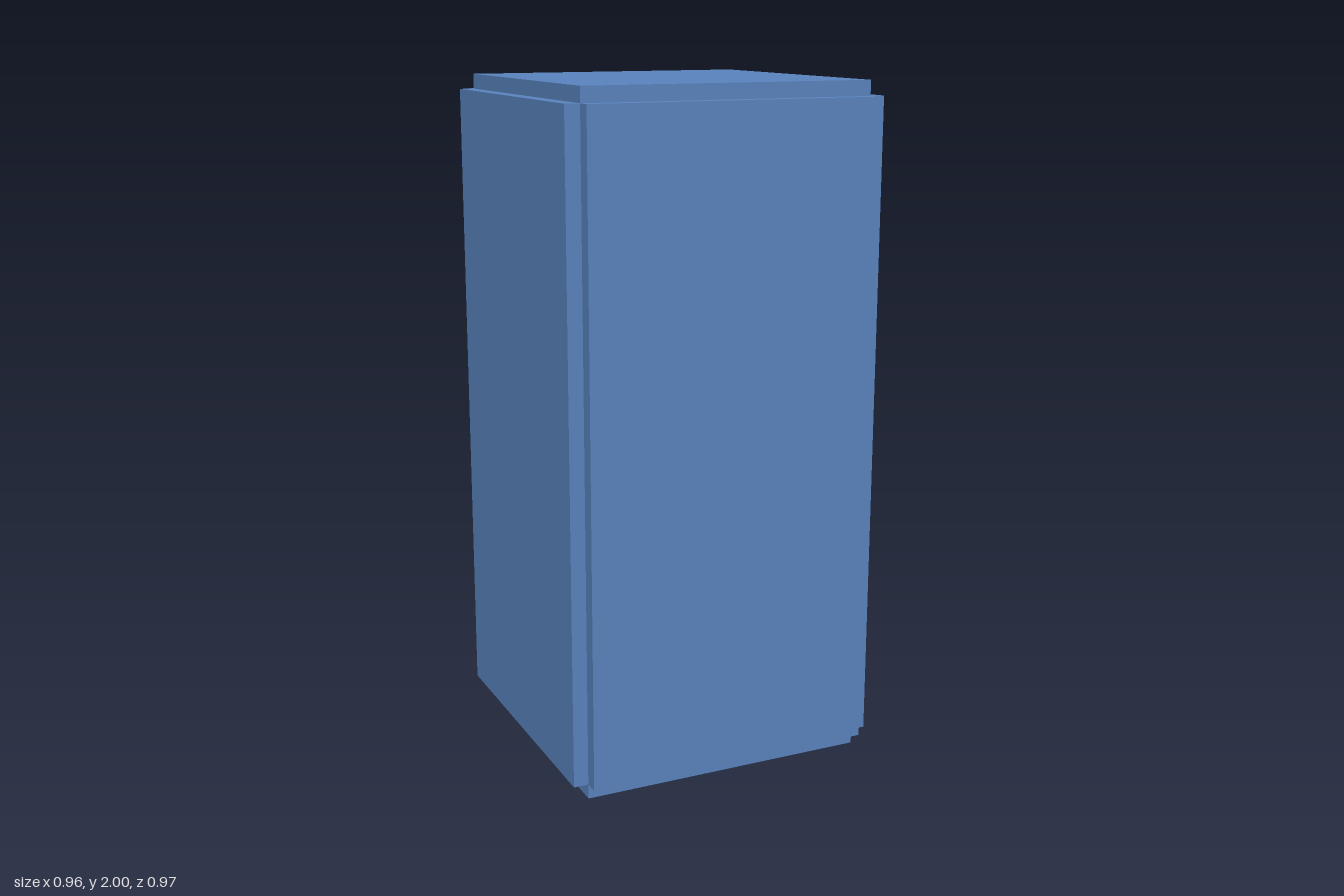
import * as THREE from 'three';

export function createModel() {
  const group = new THREE.Group();
  const blue = new THREE.MeshStandardMaterial({ color: 0x5a84bf });
  const grey = new THREE.MeshStandardMaterial({ color: 0xcccccc });

  // Adds a box given its size and centre
  const slab = (name, size, centre, material = blue) => {
    const mesh = new THREE.Mesh(new THREE.BoxGeometry(...size), material);
    mesh.name = name;
    mesh.position.set(...centre);
    group.add(mesh);
  };

  const width = 0.87;   // inner cabinet width and depth
  const height = 1.912; // inner cabinet height
  const t = 0.044;      // panel thickness
  const midY = 1, midZ = 0.007;
  const offset = (width + t) / 2;
  const rise = (height + t) / 2;

  // Six panels meeting along the cabinet's inner edges, leaving stepped corners
  for (const [side, s] of [['left', 1], ['right', -1]])
    slab(side + 'Panel', [t, height, width], [s * offset, midY, midZ]);
  for (const [side, s] of [['front', 1], ['back', -1]])
    slab(side + 'Panel', [width, height, t], [0, midY, midZ + s * offset]);
  for (const [side, s] of [['top', 1], ['bottom', -1]])
    slab(side + 'Panel', [width, t, width], [0, midY + s * rise, midZ]);

  // Thin grey plate on the back
  slab('backPlate', [0.696, 1.655, 0.016], [0, 0.915, midZ - width / 2 - t - 0.008], grey);

  return group;
}
